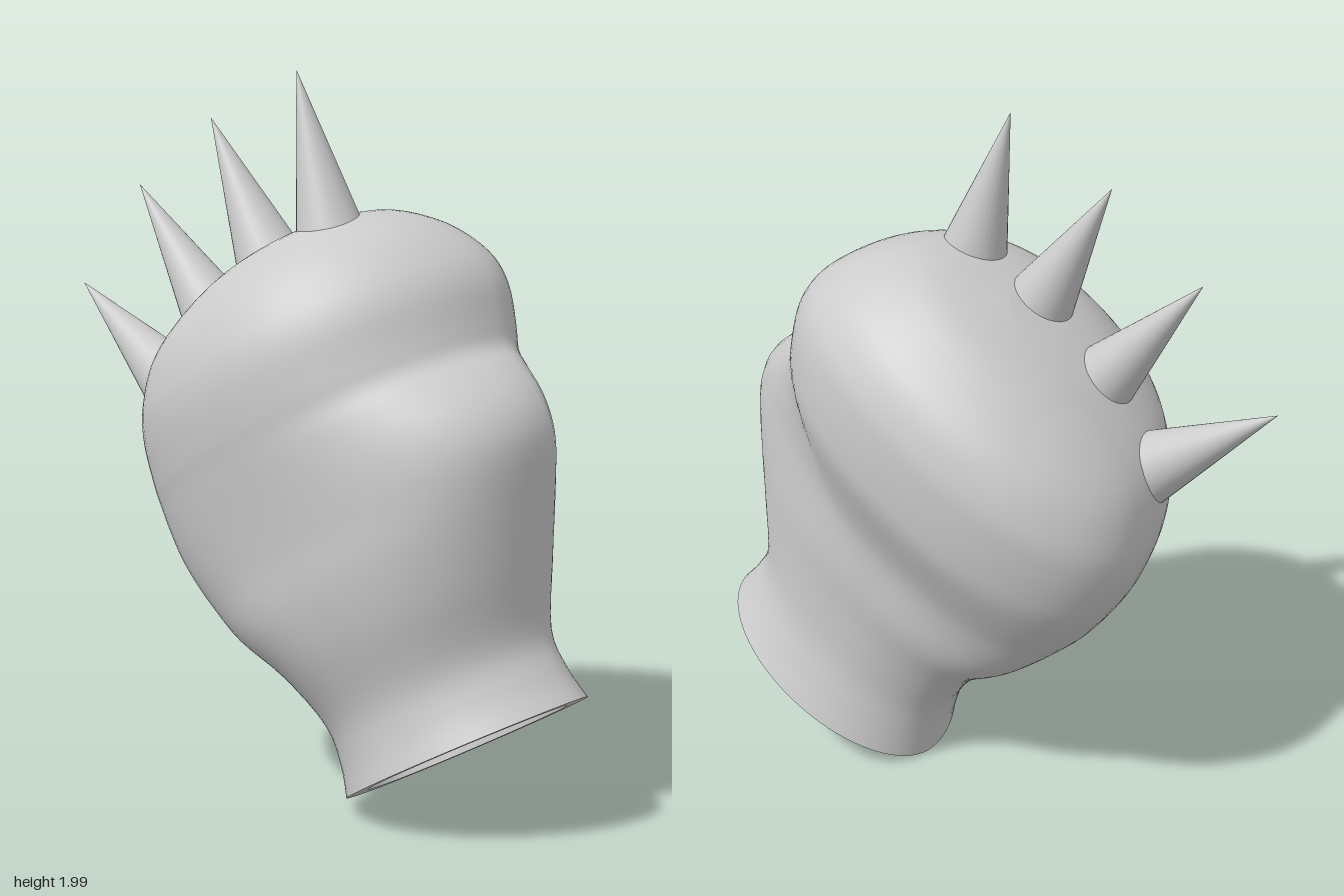
import * as THREE from 'three';

const { clamp, lerp, smoothstep } = THREE.MathUtils;
const TILT = Math.PI / 6, SIDES = 80;
const grey = () => new THREE.MeshStandardMaterial({ color: 0xcccccc });

// Cross-sections: height along the arm, back, front with thumb, front without thumb, right side, left side
const SECTIONS = [
  [0, -0.388, 0.38, 0.38, -0.3, 0.3],
  [0.09, -0.362, 0.364, 0.36, -0.285, 0.27],
  [0.2, -0.347, 0.37, 0.35, -0.29, 0.25],
  [0.36, -0.375, 0.47, 0.37, -0.35, 0.26],
  [0.5, -0.455, 0.56, 0.39, -0.385, 0.285],
  [0.62, -0.505, 0.635, 0.41, -0.395, 0.297],
  [0.7, -0.532, 0.66, 0.43, -0.405, 0.315],
  [0.78, -0.555, 0.655, 0.47, -0.417, 0.352],
  [0.86, -0.568, 0.624, 0.52, -0.43, 0.395],
  [0.925, -0.574, 0.59, 0.56, -0.44, 0.425],
  [0.99, -0.575, 0.597, 0.59, -0.45, 0.44],
  [1.1, -0.56, 0.618, 0.618, -0.455, 0.45],
  [1.2, -0.515, 0.6, 0.6, -0.435, 0.445],
  [1.31, -0.41, 0.535, 0.535, -0.375, 0.395],
  [1.4, -0.208, 0.43, 0.43, -0.26, 0.29],
  [1.44, -0.03, 0.31, 0.31, -0.13, 0.2],
  [1.456, 0.14, 0.14, 0.14, 0.05, 0.05],
];

// Smooth interpolation between the cross-sections
function sectionAt(u) {
  const n = SECTIONS.length - 1, i = Math.min(Math.floor(u), n - 1), f = u - i;
  const row = (k) => SECTIONS[Math.max(0, Math.min(n, k))];
  return SECTIONS[0].map((_, c) => {
    const [a, b, d, e] = [-1, 0, 1, 2].map((k) => row(i + k)[c]);
    return b + 0.5 * f * (d - a + f * (2 * a - 5 * b + 4 * d - e + f * (3 * (b - d) + e - a)));
  });
}

// One ring of points; the thumb swells the front, rounding off towards the left side
function ring([y, back, front, palm, right, left]) {
  const n = 2 + 0.42 * smoothstep(y, 0, 0.6) - 0.32 * smoothstep(y, 0.6, 1.1);
  const xc = 0.05 + 0.06 * (smoothstep(y, 0.65, 1.1) - smoothstep(y, 1.15, 1.456));
  const power = (v) => Math.sign(v) * Math.pow(Math.abs(v), 2 / n);
  const zc = (back + palm) / 2;
  return Array.from({ length: SIDES }, (_, j) => {
    const a = (j / SIDES) * Math.PI * 2, c = power(Math.cos(a)), s = power(Math.sin(a));
    const x = xc + c * (c > 0 ? left - xc : xc - right);
    const thumb = 1 - Math.pow(clamp(x / 0.29, 0, 1), 2.5);
    const reach = s > 0 ? lerp(palm, front, thumb) - zc : zc - back;
    return [x, y, zc + s * reach];
  });
}

// Skin a list of rings
function loft(name, rings) {
  const index = [];
  for (let i = 0; i < rings.length - 1; i++) {
    for (let j = 0; j < SIDES; j++) {
      const k = (j + 1) % SIDES;
      const a = i * SIDES + j, b = a + SIDES, c = (i + 1) * SIDES + k, d = i * SIDES + k;
      index.push(a, b, c, a, c, d);
    }
  }
  const geo = new THREE.BufferGeometry();
  geo.setAttribute('position', new THREE.Float32BufferAttribute(rings.flat(2), 3));
  geo.setIndex(index);
  geo.computeVertexNormals();
  const mesh = new THREE.Mesh(geo, grey());
  mesh.name = name;
  return mesh;
}

// Cone from a point on the knuckles to its tip, sunk a little into the glove
function spike(bz, by, tz, ty) {
  const tip = new THREE.Vector3(-0.08, ty, tz);
  const dir = tip.clone().sub(new THREE.Vector3(-0.08, by, bz));
  const sink = 1.14, length = dir.length() * sink;
  dir.normalize();
  const mesh = new THREE.Mesh(new THREE.ConeGeometry(0.09 * sink, length, 32), grey());
  mesh.quaternion.setFromUnitVectors(new THREE.Vector3(0, 1, 0), dir);
  mesh.position.copy(tip).addScaledVector(dir, -length / 2);
  mesh.name = 'knuckleSpike';
  return mesh;
}

export function createModel() {
  const model = new THREE.Group();
  model.name = 'spikedGlove';

  // Glove, leaning back
  const glove = new THREE.Group();
  glove.name = 'glove';
  glove.rotation.x = -TILT;
  glove.position.set(0, 0.2, 0.51);
  const steps = (SECTIONS.length - 1) * 4;
  const rings = Array.from({ length: steps + 1 }, (_, i) => ring(sectionAt(i / 4)));
  glove.add(loft('gloveBody', rings));

  // Recessed wrist opening
  const depth = 0.07;
  const outerRim = ring(SECTIONS[0]);
  const innerRim = ring([0, -0.32, 0.315, 0.315, -0.245, 0.25]);
  const floorEdge = innerRim.map(([x, , z]) => [x, depth, z]);
  const floorCentre = innerRim.map(() => [0, depth, 0]);
  glove.add(
    loft('cuffRim', [innerRim, outerRim]),
    loft('cuffInnerWall', [floorEdge, innerRim]),
    loft('cuffFloor', [floorCentre, floorEdge]),
  );
  model.add(glove);

  // Row of spikes over the knuckles: base z, y and tip z, y
  const spikes = new THREE.Group();
  spikes.name = 'spikes';
  for (const s of [
    [0.105, 1.59, -0.01, 2.0],
    [-0.12, 1.505, -0.325, 1.86],
    [-0.33, 1.335, -0.605, 1.66],
    [-0.5, 1.12, -0.84, 1.36],
  ]) spikes.add(spike(...s));
  model.add(spikes);
  return model;
}
